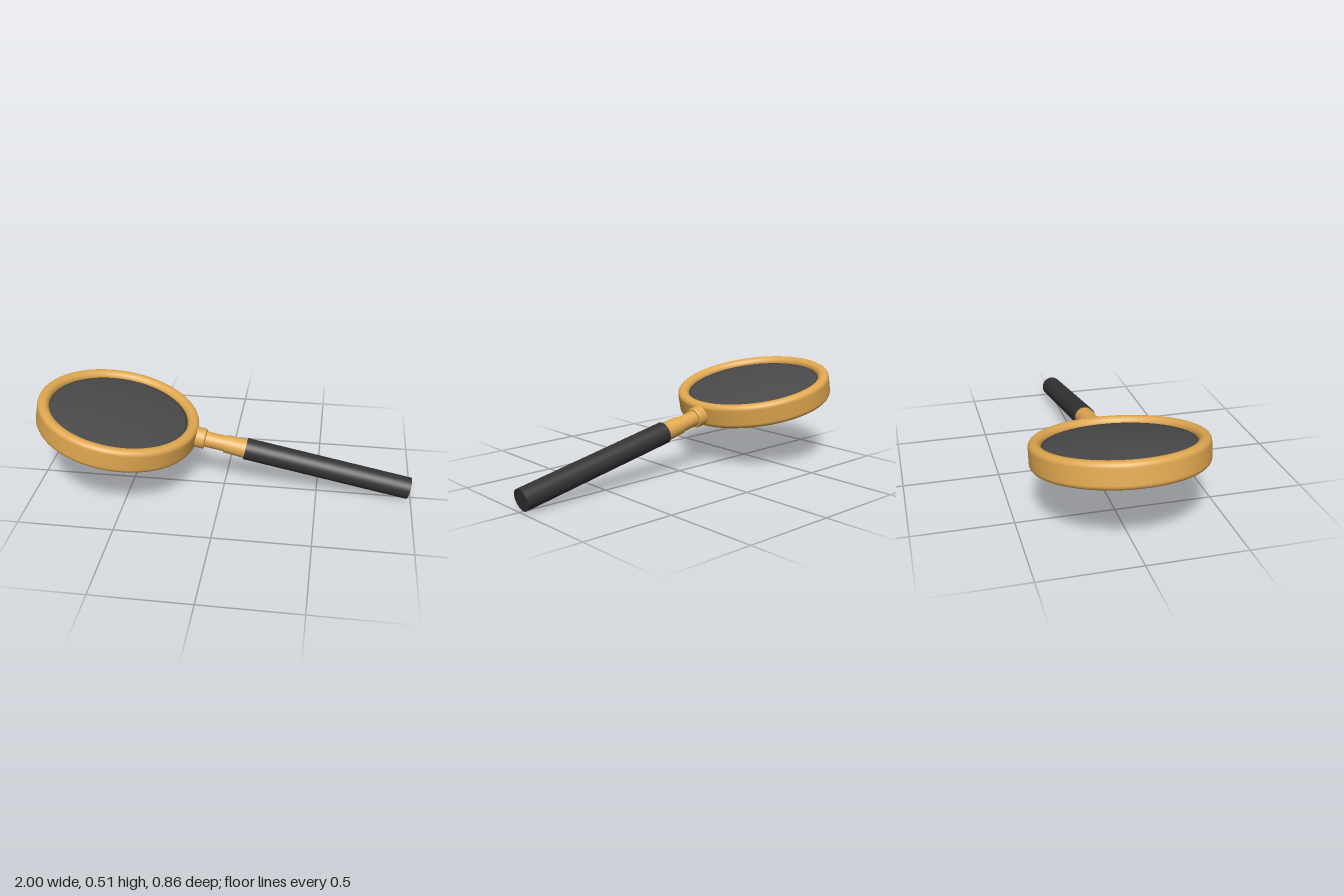
import * as THREE from 'three';

const material = (color) => new THREE.MeshStandardMaterial({ color });

// Surface of revolution from [radius, height] pairs
function lathe(name, points, mat, segments) {
  const geo = new THREE.LatheGeometry(points.map(([r, y]) => new THREE.Vector2(r, y)), segments);
  const mesh = new THREE.Mesh(geo, mat);
  mesh.name = name;
  return mesh;
}

// Closed rounded rectangle, counter-clockwise, as a lathe profile
function roundedProfile(r0, r1, h, cOuter, cInner, steps = 6) {
  const corners = [
    [r1 - cOuter, -h + cOuter, cOuter, -Math.PI / 2],
    [r1 - cOuter, h - cOuter, cOuter, 0],
    [r0 + cInner, h - cInner, cInner, Math.PI / 2],
    [r0 + cInner, -h + cInner, cInner, Math.PI],
  ];
  const pts = [];
  for (const [x, y, c, start] of corners) {
    for (let i = 0; i <= steps; i++) {
      const a = start + (i / steps) * Math.PI / 2;
      pts.push([x + c * Math.cos(a), y + c * Math.sin(a)]);
    }
  }
  pts.push(pts[0]);
  return pts;
}

// Solid cylinder along the handle axis, from x0 to x1
function rod(name, x0, x1, r0, r1, mat) {
  const geo = new THREE.CylinderGeometry(r1, r0, x1 - x0, 48);
  geo.rotateZ(-Math.PI / 2);
  const mesh = new THREE.Mesh(geo, mat);
  mesh.position.x = (x0 + x1) / 2;
  mesh.name = name;
  return mesh;
}

export function createModel() {
  const brass = material(0xe0a850);
  const black = material(0x333333);
  const glass = material(0x4a4a4a);

  const tilted = new THREE.Group();
  tilted.name = 'magnifyingGlass';

  // Rim around the lens
  tilted.add(lathe('rim', roundedProfile(0.368, 0.43, 0.065, 0.026, 0.03), brass, 96));

  // Biconvex lens, seated inside the rim
  const lensPoints = [];
  const n = 16, radius = 0.375, edge = 0.033, centre = 0.069;
  const bulge = (r) => centre - (centre - edge) * (r / radius) ** 2;
  for (let i = 0; i <= n; i++) {
    const r = radius * i / n;
    lensPoints.push([r, -bulge(r)]);
  }
  for (let i = n; i >= 0; i--) {
    const r = radius * i / n;
    lensPoints.push([r, bulge(r)]);
  }
  tilted.add(lathe('lens', lensPoints, glass, 96));

  // Collar with softened edge, neck and ferrule
  const collar = lathe('collar', [
    [0.055, 0.415], [0.055, 0.468], [0.053, 0.475], [0.048, 0.479], [0, 0.479],
  ], brass, 48);
  collar.rotation.z = -Math.PI / 2;
  tilted.add(collar);
  tilted.add(rod('neck', 0.47, 0.59, 0.042, 0.042, brass));
  tilted.add(rod('ferrule', 0.585, 0.71, 0.048, 0.052, brass));

  // Handle grip
  tilted.add(rod('handle', 0.697, 1.589, 0.058, 0.058, black));

  // Lean the whole tool so the handle tip rests on the ground
  tilted.rotation.z = -THREE.MathUtils.degToRad(11.3);
  tilted.position.set(-0.57, 0.372, 0);

  const model = new THREE.Group();
  model.add(tilted);
  return model;
}
